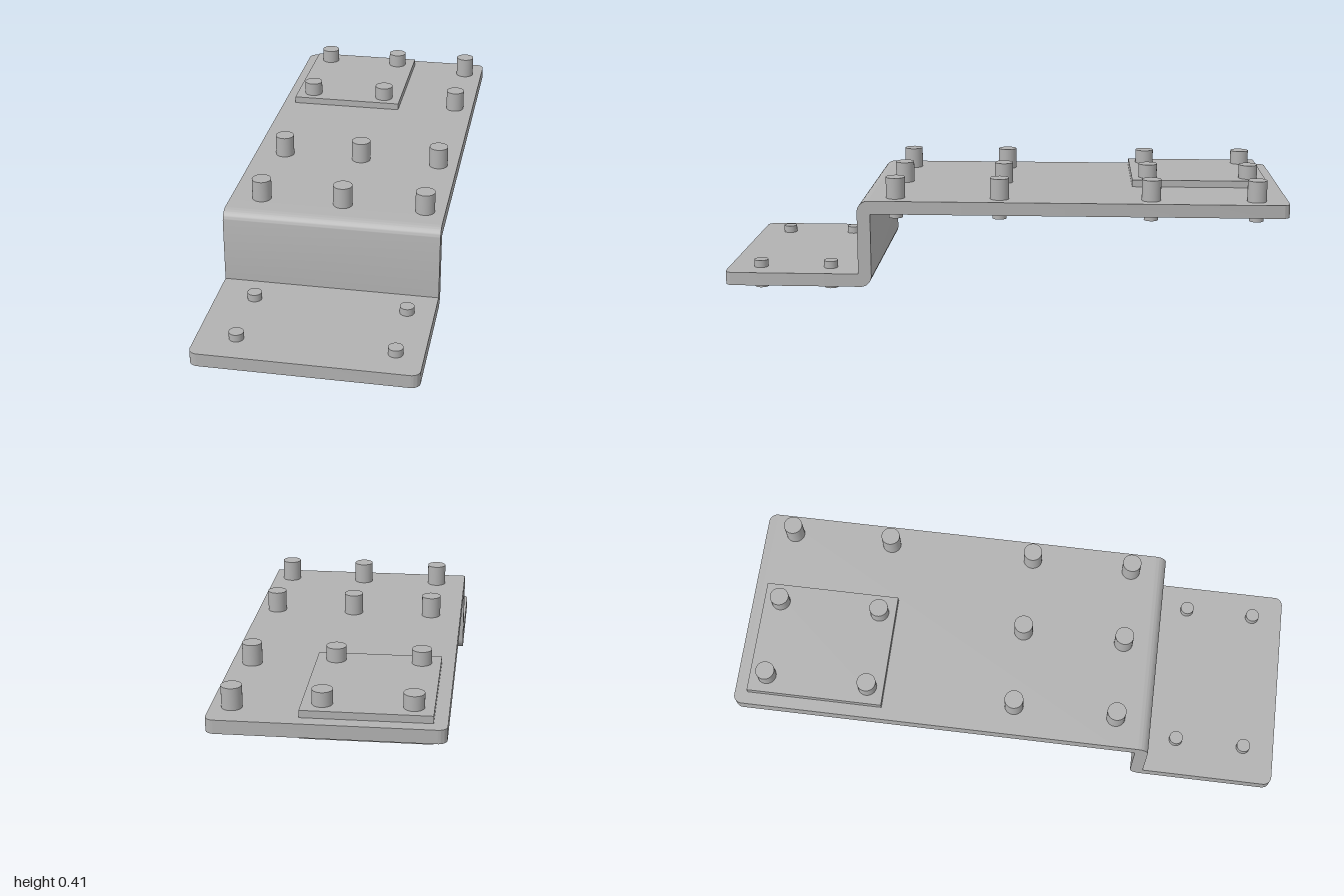
import * as THREE from 'three';
import { toCreasedNormals } from 'three/addons/utils/BufferGeometryUtils.js';

const W = 0.38;               // half width of the strip
const LOW = [0.027, 0.074];   // bottom and top of the lower flange
const HIGH = [0.293, 0.34];   // bottom and top of the upper plate

export function createModel() {
  const model = new THREE.Group();
  model.name = 'steppedBracket';
  const grey = new THREE.MeshStandardMaterial({ color: 0xb2b2b2 });
  grey.name = 'plain grey';

  const add = (name, geometry, x = 0, y = 0, z = 0) => {
    const mesh = new THREE.Mesh(geometry, grey);
    mesh.name = name;
    mesh.position.set(x, y, z);
    model.add(mesh);
  };

  // Flat plate from z0 to the free end z1, whose two corners are rounded
  const flatPlate = (name, z0, z1, [bottom, top]) => {
    const r = 0.03, d = Math.sign(z1 - z0);
    const s = new THREE.Shape();
    s.moveTo(-W, z0);
    s.lineTo(W, z0);
    s.lineTo(W, z1 - d * r);
    s.absarc(W - r, z1 - d * r, r, 0, d * Math.PI / 2, d < 0);
    s.lineTo(-W + r, z1);
    s.absarc(-W + r, z1 - d * r, r, d * Math.PI / 2, d * Math.PI, d < 0);
    s.closePath();
    const g = new THREE.ExtrudeGeometry(s, { depth: top - bottom, bevelEnabled: false, curveSegments: 8 });
    g.rotateX(Math.PI / 2);
    add(name, toCreasedNormals(g, 0.5), 0, top, 0);
  };
  flatPlate('upperPlate', 0.4, -1, HIGH);
  flatPlate('lowerFlange', 0.6, 1, LOW);

  // Z-shaped bend joining both plates, rounded on its outer corners
  const back = 0.47, front = 0.517, R = 0.04;
  const s = new THREE.Shape();
  s.moveTo(0.4, HIGH[0]);
  s.lineTo(back, HIGH[0]);
  s.lineTo(back, LOW[0] + R);
  s.absarc(back + R, LOW[0] + R, R, Math.PI, Math.PI * 1.5, false);
  s.lineTo(0.6, LOW[0]);
  s.lineTo(0.6, LOW[1]);
  s.lineTo(front, LOW[1]);
  s.lineTo(front, HIGH[1] - R);
  s.absarc(front - R, HIGH[1] - R, R, 0, Math.PI / 2, false);
  s.lineTo(0.4, HIGH[1]);
  s.closePath();
  const bend = new THREE.ExtrudeGeometry(s, { depth: 2 * W, bevelEnabled: false, curveSegments: 10 });
  bend.rotateY(-Math.PI / 2);
  add('riser', toCreasedNormals(bend, 0.5), W, 0, 0);

  // Square pads above and below the upper plate
  const pad = new THREE.BoxGeometry(0.422, 0.025, 0.492);
  add('topPad', pad, -0.124, HIGH[1] + 0.0125, -0.707);
  add('bottomPad', pad, -0.124, HIGH[0] - 0.0125, -0.707);

  // Upright pin between two heights
  const pin = (name, r, x, z, y0, y1) =>
    add(name, new THREE.CylinderGeometry(r, r, y1 - y0, 32), x, (y0 + y1) / 2, z);

  // Upper bolts: wide heads above, thinner ends below
  for (const x of [-0.27, 0.02, 0.31]) {
    for (const z of [-0.89, -0.52, 0.016, 0.387]) {
      pin('boltHead', 0.034, x, z, 0.32, 0.415);
      pin('boltEnd', 0.025, x, z, 0.2685, 0.32);
    }
  }
  // Lower pins pass straight through the flange
  for (const x of [-0.245, 0.286]) {
    for (const z of [0.63, 0.885]) pin('flangePin', 0.025, x, z, 0, 0.1);
  }
  return model;
}
